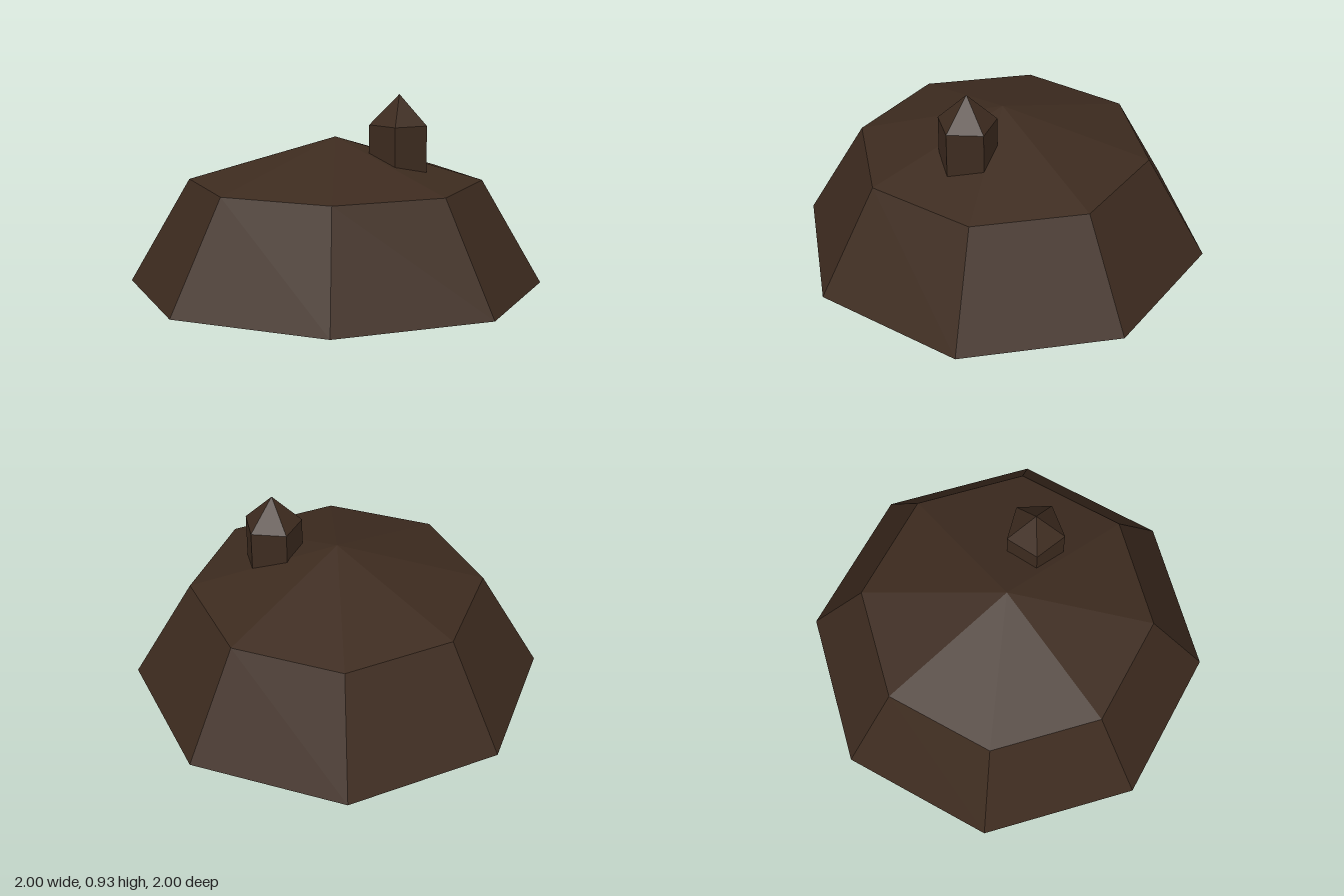
import * as THREE from 'three';

const U = 1 / 7; // base unit: the dome radius is seven units

// Faceted solid of revolution with its first corner on +x; profile runs from bottom to top
function facetedLathe(name, profile, sides, material) {
  const points = profile.map(([r, y]) => new THREE.Vector2(r, y));
  const geometry = new THREE.LatheGeometry(points, sides, Math.PI / 2);
  const mesh = new THREE.Mesh(geometry, material);
  mesh.name = name;
  return mesh;
}

export function createModel() {
  const group = new THREE.Group();
  group.name = 'domeHut';

  const darkBrown = new THREE.MeshStandardMaterial({
    color: 0x3d2b1f, flatShading: true, side: THREE.DoubleSide,
  });
  darkBrown.name = 'darkBrown';

  // Open, eight-sided half dome, slightly squashed
  const h = 5 * U;
  const dome = facetedLathe('dome', [
    [1, 0],
    [Math.SQRT1_2, h * Math.SQRT1_2],
    [0, h],
  ], 8, darkBrown);
  group.add(dome);

  // Five-sided chimney with pointed ends, passing through the roof
  const chimney = facetedLathe('chimney', [
    [0, -2 * U],
    [U, -U],
    [U, U],
    [0, 2 * U],
  ], 5, darkBrown);
  chimney.position.set(U, 4.5 * U, 2 * U);
  group.add(chimney);

  return group;
}
